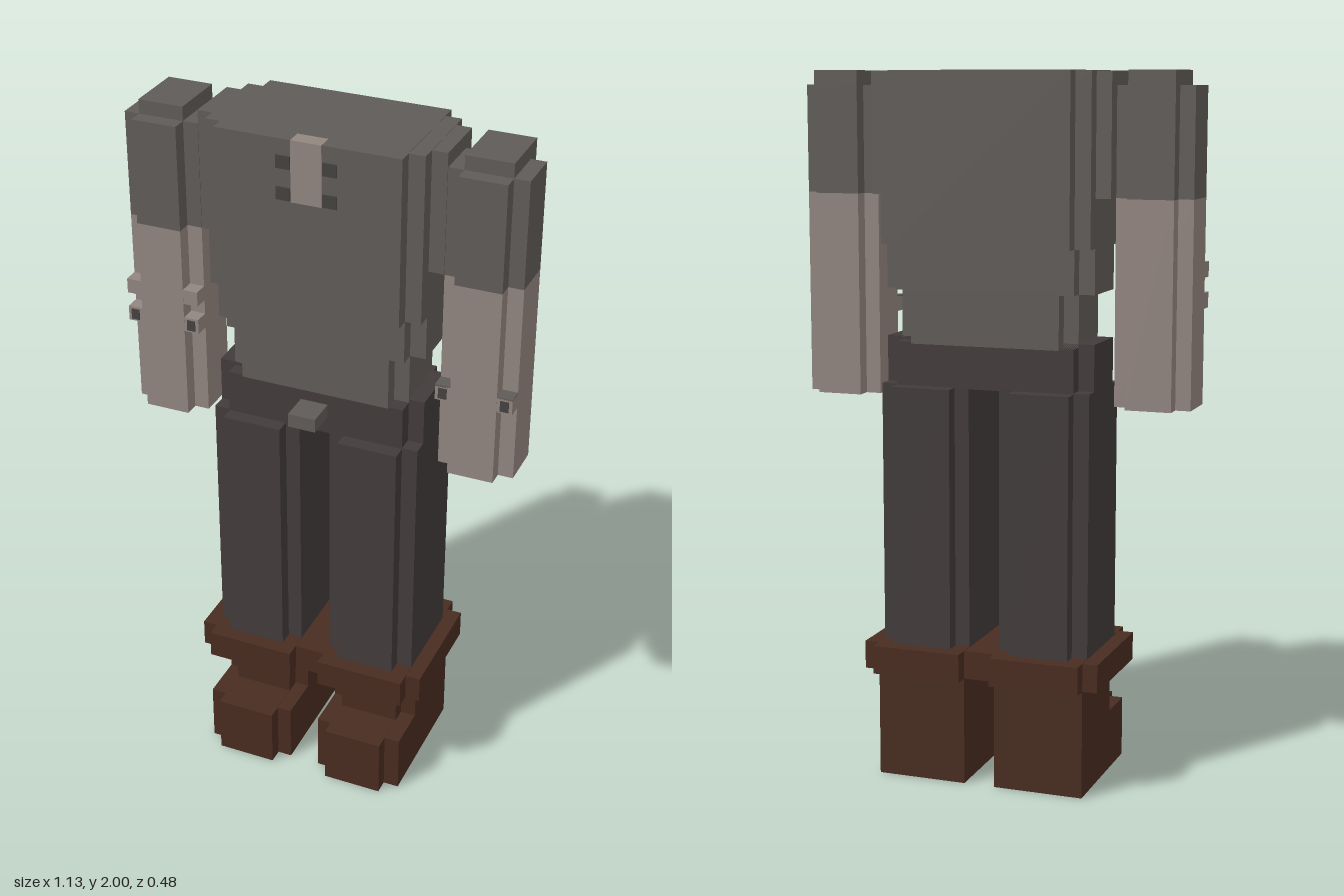
import * as THREE from 'three';

const mat = (name, color) => {
  const m = new THREE.MeshStandardMaterial({ color });
  m.name = name;
  return m;
};

export function createModel() {
  const root = new THREE.Group();
  root.name = 'blockFigure';
  const shirt = mat('shirtGrey', 0x5f5b58);
  const skin = mat('skin', 0x92857f);
  const pants = mat('trouserCharcoal', 0x423b3b);
  const boot = mat('bootBrown', 0x492c20);
  const dark = mat('buttonGrey', 0x454240);

  // Box from its limits along each axis
  const box = (parent, name, m, x0, x1, y0, y1, z0, z1) => {
    const mesh = new THREE.Mesh(new THREE.BoxGeometry(x1 - x0, y1 - y0, z1 - z0), m);
    mesh.position.set((x0 + x1) / 2, (y0 + y1) / 2, (z0 + z1) / 2);
    mesh.name = name;
    parent.add(mesh);
    return mesh;
  };
  // Box centred on x = 0
  const mid = (parent, name, m, x, y0, y1, z0, z1) => box(parent, name, m, -x, x, y0, y1, z0, z1);
  // Box on one side (s = 1 or -1)
  const side = (s, parent, name, m, a, b, ...r) =>
    box(parent, name, m, Math.min(s * a, s * b), Math.max(s * a, s * b), ...r);
  const group = (name) => {
    const g = new THREE.Group();
    g.name = name;
    root.add(g);
    return g;
  };

  // Torso: stepped chest, belly and waist
  const torso = group('torso');
  mid(torso, 'chest', shirt, 0.26, 1.525, 2, -0.195, 0.152);
  mid(torso, 'chestSides', shirt, 0.305, 1.525, 1.999, -0.152, 0.109);
  mid(torso, 'shoulders', shirt, 0.348, 1.66, 1.998, -0.109, 0.065);
  mid(torso, 'belly', shirt, 0.26, 1.4, 1.53, -0.152, 0.109);
  mid(torso, 'bellySides', shirt, 0.305, 1.4, 1.53, -0.109, 0.065);
  mid(torso, 'waist', shirt, 0.217, 1.25, 1.41, -0.152, 0.109);
  mid(torso, 'waistSides', shirt, 0.26, 1.25, 1.41, -0.109, 0.065);

  // Open collar and its fastenings
  mid(torso, 'collarOpening', skin, 0.043, 1.83, 2, 0.15, 0.155);
  mid(torso, 'collarTop', skin, 0.043, 1.995, 2.001, 0.109, 0.155);
  for (const s of [1, -1]) {
    for (const y of [1.85, 1.937]) {
      side(s, torso, 'collarButton', dark, 0.045, 0.085, y - 0.018, y + 0.018, 0.15, 0.156);
    }
  }

  // Trouser top and belt buckle
  const hips = group('hips');
  mid(hips, 'hipCore', pants, 0.26, 1.13, 1.255, -0.152, 0.109);
  mid(hips, 'hipSides', pants, 0.305, 1.13, 1.265, -0.109, 0.065);
  mid(hips, 'buckle', shirt, 0.04, 1.18, 1.22, 0.1, 0.196);

  // Centre piece joining the two cuffs
  mid(root, 'cuffBridge', boot, 0.05, 0.31, 0.39, -0.195, 0.152);

  for (const s of [1, -1]) {
    const label = s > 0 ? 'left' : 'right';

    const leg = group(label + 'Leg');
    side(s, leg, 'legCore', pants, 0.087, 0.26, 0.35, 1.132, -0.195, 0.152);
    side(s, leg, 'legSides', pants, 0.045, 0.305, 0.35, 1.135, -0.152, 0.109);

    const foot = group(label + 'Boot');
    side(s, foot, 'ankle', boot, 0.045, 0.305, 0, 0.33, -0.195, 0.065);
    side(s, foot, 'ankleFront', boot, 0.087, 0.26, 0, 0.33, 0, 0.109);
    side(s, foot, 'instep', boot, 0.045, 0.305, 0, 0.174, 0, 0.196);
    side(s, foot, 'toe', boot, 0.087, 0.26, 0, 0.175, 0, 0.239);
    side(s, foot, 'cuffOuter', boot, 0.045, 0.348, 0.31, 0.39, -0.195, 0.152);
    side(s, foot, 'cuff', boot, 0.045, 0.305, 0.31, 0.391, -0.239, 0.196);

    // Arm: plus-shaped section, sleeve above the bare forearm
    const arm = group(label + 'Arm');
    for (const [name, m, y0, y1] of [['forearm', skin, 1.09, 1.66], ['sleeve', shirt, 1.66, 1.96]]) {
      side(s, arm, name + 'Core', m, 0.392, 0.522, y0, y1, -0.109, 0.109);
      side(s, arm, name + 'Sides', m, 0.349, 0.565, y0, y1, -0.065, 0.065);
    }
    side(s, arm, 'shoulderCap', shirt, 0.392, 0.522, 1.95, 2, -0.109, 0.065);

    // Small studs in the front corners of the forearm
    for (const [a, b] of [[0.349, 0.392], [0.522, 0.565]]) {
      const c = (a + b) / 2;
      const heights = s > 0 ? [1.312] : [1.355, 1.44];
      for (const y of heights) side(s, arm, 'stud', skin, a, b, y, y + 0.043, 0.06, 0.108);
      if (s > 0) side(s, arm, 'studTop', shirt, a, b, 1.352, 1.358, 0.06, 0.108);
      side(s, arm, 'studFace', dark, c - 0.012, c + 0.012,
        heights[0] + 0.006, heights[0] + 0.037, 0.105, 0.111);
    }
  }
  return root;
}
